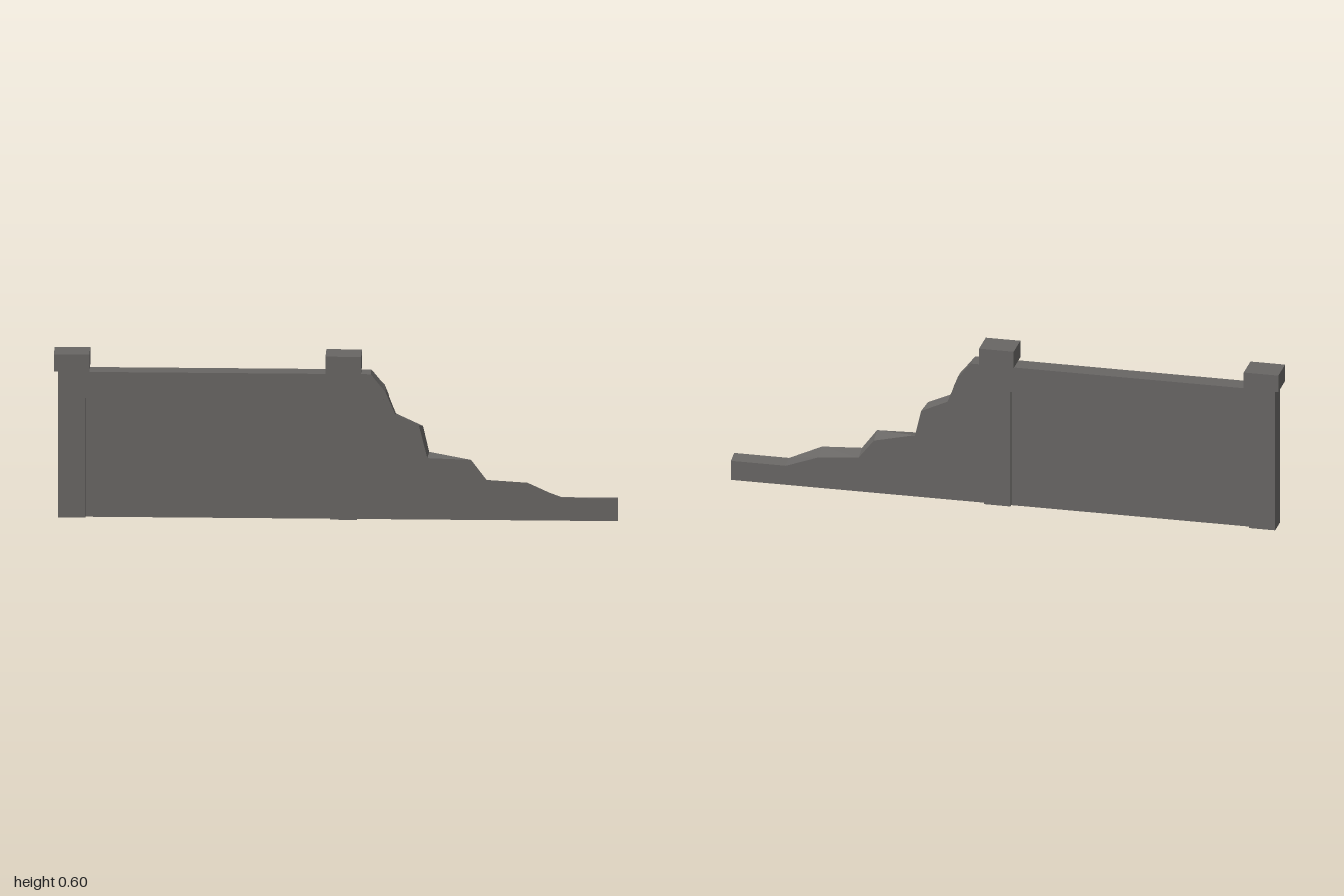
import * as THREE from 'three';

const stone = new THREE.MeshStandardMaterial({ color: 0x686664 });
stone.name = 'dark stone';

// box given by its x, y and z limits
function block(name, x0, x1, y0, y1, halfZ) {
  const mesh = new THREE.Mesh(new THREE.BoxGeometry(x1 - x0, y1 - y0, halfZ * 2), stone);
  mesh.position.set((x0 + x1) / 2, (y0 + y1) / 2, 0);
  mesh.name = name;
  return mesh;
}

// slab with an outline on the front and a slightly different one on the back
function brokenSlab(name, front, back, halfZ) {
  const shape = new THREE.Shape(front.map(([x, y]) => new THREE.Vector2(x, y)));
  const geometry = new THREE.ExtrudeGeometry(shape, { depth: halfZ * 2, bevelEnabled: false });
  geometry.translate(0, 0, -halfZ);
  const p = geometry.attributes.position;
  for (let i = 0; i < p.count; i++) {
    if (p.getZ(i) > 0) continue;
    const k = front.findIndex(([x, y]) => Math.hypot(x - p.getX(i), y - p.getY(i)) < 1e-4);
    if (k >= 0) p.setXY(i, back[k][0], back[k][1]);
  }
  geometry.computeVertexNormals();
  const mesh = new THREE.Mesh(geometry, stone);
  mesh.name = name;
  return mesh;
}

export function createModel() {
  const wall = new THREE.Group();
  wall.name = 'brokenWall';

  // pillars with caps
  for (const [side, x] of [['right', -0.935], ['middle', 0.028]]) {
    wall.add(block(side + 'Pillar', x - 0.048, x + 0.048, 0, 0.54, 0.038));
    wall.add(block(side + 'PillarCap', x - 0.063, x + 0.063, 0.538, 0.601, 0.052));
  }

  // intact panel and its top rail
  wall.add(block('panel', -0.89, -0.02, 0, 0.45, 0.025));
  wall.add(block('topRail', -0.89, -0.02, 0.438, 0.533, 0.034));

  // snapped end of the rail
  wall.add(brokenSlab('brokenRail',
    [[0.07, 0.438], [0.168, 0.438], [0.178, 0.468], [0.155, 0.495], [0.125, 0.533], [0.07, 0.533]],
    [[0.07, 0.438], [0.188, 0.438], [0.172, 0.478], [0.16, 0.49], [0.125, 0.533], [0.07, 0.533]],
    0.034));

  // crumbled panel stepping down to the ground
  wall.add(brokenSlab('crumbledPanel',
    [[0.07, 0], [1, 0], [1, 0.083], [0.8, 0.083], [0.68, 0.138], [0.535, 0.147], [0.48, 0.22],
      [0.325, 0.225], [0.295, 0.345], [0.212, 0.382], [0.175, 0.47], [0.07, 0.47]],
    [[0.07, 0], [1, 0], [1, 0.073], [0.8, 0.073], [0.68, 0.117], [0.535, 0.13], [0.48, 0.2],
      [0.33, 0.235], [0.308, 0.33], [0.212, 0.375], [0.175, 0.47], [0.07, 0.47]],
    0.025));

  return wall;
}
